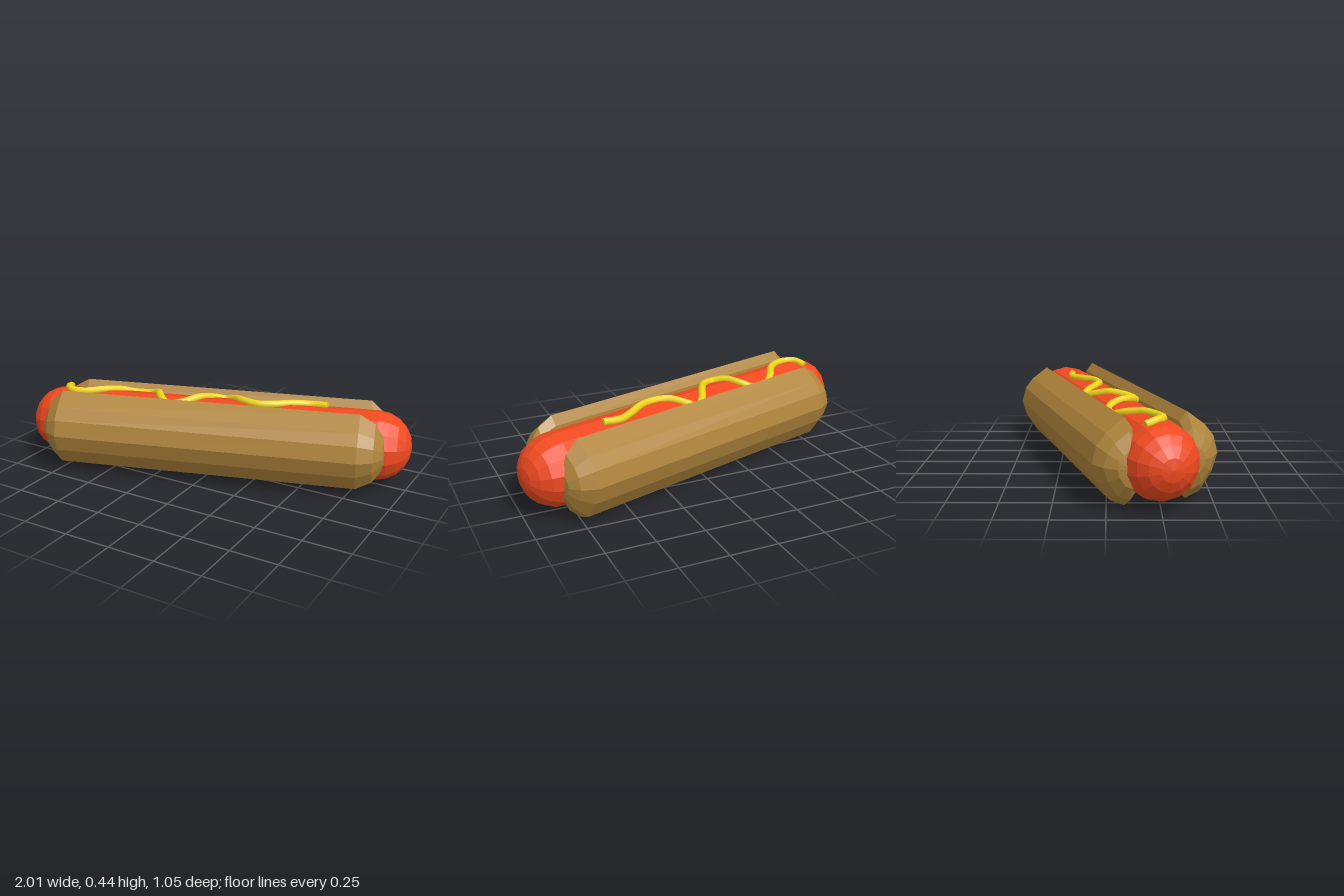
import * as THREE from 'three';

const CENTRE_Y = 0.222, SAUSAGE_R = 0.183, YAW = 0.294;

function part(name, geometry, color, flatShading) {
  const mesh = new THREE.Mesh(geometry, new THREE.MeshStandardMaterial({ color, flatShading }));
  mesh.name = name;
  return mesh;
}

// Half bun: a D-shaped section [z, y] lofted along x, shrinking at both ends.
function bunGeometry() {
  const section = [
    [0.135, 0.005], [0.205, 0.035], [0.265, 0.125], [0.292, 0.212], [0.27, 0.295],
    [0.225, 0.352], [0.135, 0.418], [0.1, 0.37], [0.085, 0.21], [0.1, 0.05],
  ];
  const stations = [ // x, scale
    [-0.925, 0], [-0.918, 0.35], [-0.885, 0.7], [-0.82, 1],
    [0.775, 1], [0.855, 0.78], [0.9, 0.45], [0.915, 0],
  ];
  const midZ = 0.14, midY = 0.21, n = section.length;
  const positions = [], indices = [];
  for (const [x, s] of stations)
    for (const [z, y] of section) positions.push(x, midY + (y - midY) * s, midZ + (z - midZ) * s);
  for (let i = 0; i < stations.length - 1; i++) {
    for (let j = 0; j < n; j++) {
      const a = i * n + j, d = i * n + (j + 1) % n, b = a + n, c = d + n;
      if (i < stations.length - 2) indices.push(a, b, c);
      if (i > 0) indices.push(a, c, d);
      else indices.push(a, b, c);
    }
  }
  const g = new THREE.BufferGeometry();
  g.setAttribute('position', new THREE.Float32BufferAttribute(positions, 3));
  g.setIndex(indices);
  g.computeVertexNormals();
  return g;
}

export function createModel() {
  const model = new THREE.Group();
  model.name = 'hotDog';
  const body = new THREE.Group();
  body.name = 'bunAndSausage';
  body.rotation.y = YAW;
  model.add(body);

  // Sausage
  const sausageGeometry = new THREE.CapsuleGeometry(SAUSAGE_R, 1.72, 5, 14);
  sausageGeometry.rotateZ(Math.PI / 2);
  const sausage = part('sausage', sausageGeometry, 0xf04a20, true);
  sausage.position.set(0.002, CENTRE_Y, -0.006);
  body.add(sausage);

  // Two bun halves, the back one turned half round
  const bun = bunGeometry();
  const frontBun = part('frontBun', bun, 0xb0853c, true);
  frontBun.position.y = 0.02;
  const backBun = part('backBun', bun, 0xb0853c, true);
  backBun.rotation.y = Math.PI;
  backBun.position.set(0, -0.003, -0.012);
  body.add(frontBun, backBun);

  // Mustard: a wavy line in plan, laid onto the sausage surface
  const plan = [
    [-0.84, 0.175], [-0.81, 0.23], [-0.76, 0.258], [-0.69, 0.24], [-0.61, 0.17], [-0.56, 0.09],
    [-0.5, 0.035], [-0.4, 0.01], [-0.34, 0.04], [-0.28, 0.11], [-0.21, 0.148], [-0.15, 0.11],
    [-0.09, 0.01], [-0.05, -0.075], [0, -0.12], [0.06, -0.1], [0.13, -0.055], [0.22, -0.045],
    [0.3, -0.08], [0.38, -0.15], [0.46, -0.2], [0.555, -0.21],
  ];
  const path = new THREE.CatmullRomCurve3(plan.map(([x, z]) => {
    const across = x * Math.sin(YAW) + z * Math.cos(YAW);
    return new THREE.Vector3(x, CENTRE_Y + Math.sqrt(0.187 ** 2 - across ** 2), z);
  }));
  const mustard = new THREE.Group();
  mustard.name = 'mustard';
  mustard.add(part('mustardLine', new THREE.TubeGeometry(path, 90, 0.021, 8), 0xf0d61c, false));
  for (const t of [0, 1]) {
    const cap = part('mustardEnd', new THREE.CircleGeometry(0.021, 8), 0xf0d61c, false);
    const end = path.getPointAt(t);
    cap.position.copy(end);
    cap.lookAt(end.add(path.getTangentAt(t).multiplyScalar(t ? 1 : -1)));
    mustard.add(cap);
  }
  model.add(mustard);
  return model;
}
